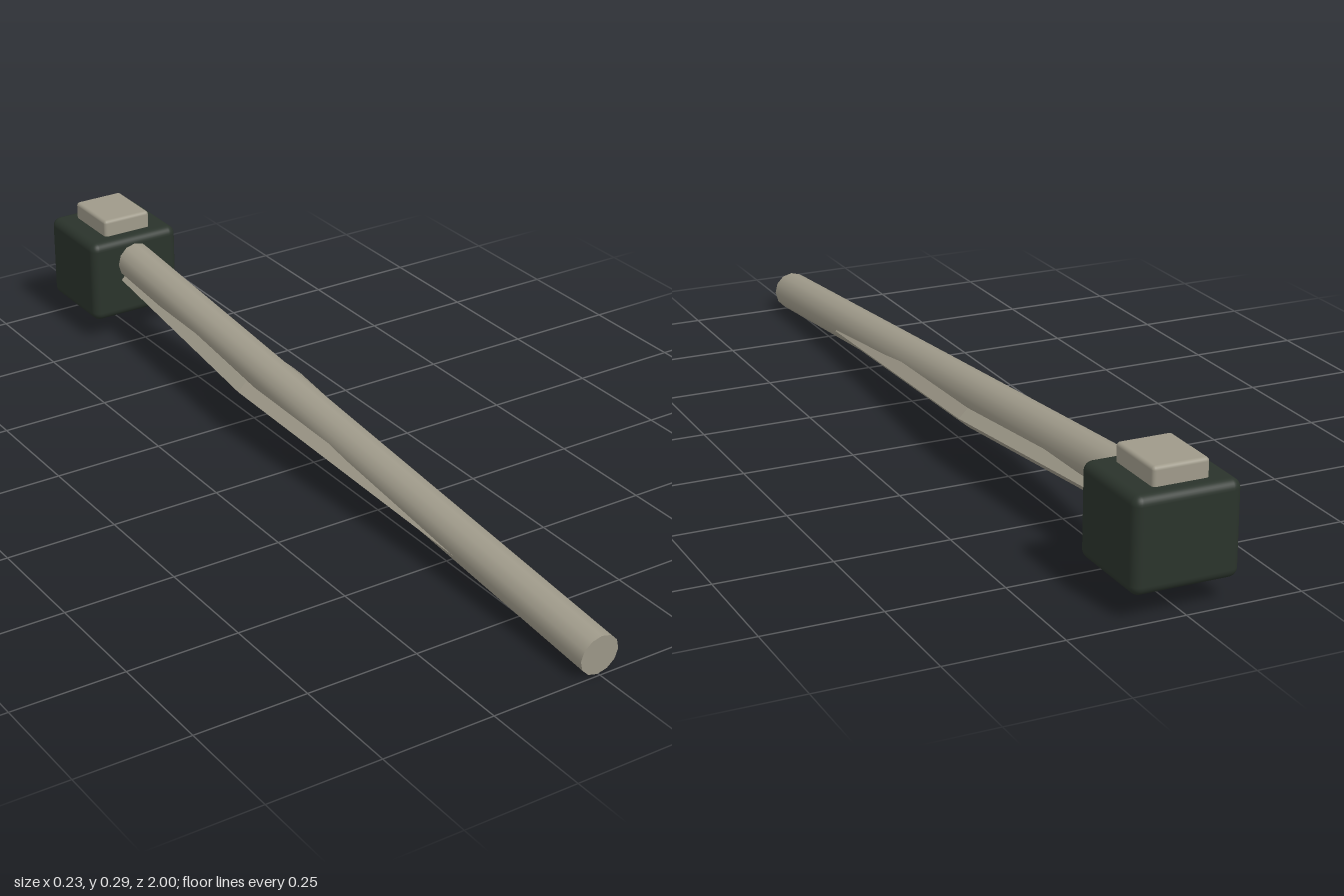
import * as THREE from 'three';
import { RoundedBoxGeometry } from 'three/addons/geometries/RoundedBoxGeometry.js';

// Square bar swept through a few centre points, section turned to a diamond
function diamondBar(points, r) {
  const pos = [];
  const ring = ([x, y, z]) => [[x, y + r, z], [x + r, y, z], [x, y - r, z], [x - r, y, z]];
  const quad = (a, b, c, d) => pos.push(...a, ...b, ...c, ...a, ...c, ...d);
  const rings = points.map(ring);
  for (let i = 0; i < rings.length - 1; i++) {
    for (let k = 0; k < 4; k++) {
      const n = (k + 1) % 4;
      quad(rings[i][k], rings[i][n], rings[i + 1][n], rings[i + 1][k]);
    }
  }
  const last = rings[rings.length - 1];
  quad(rings[0][3], rings[0][2], rings[0][1], rings[0][0]);
  quad(last[0], last[1], last[2], last[3]);
  const geo = new THREE.BufferGeometry();
  geo.setAttribute('position', new THREE.Float32BufferAttribute(pos, 3));
  geo.computeVertexNormals();
  return geo;
}

export function createModel() {
  const group = new THREE.Group();
  const metal = new THREE.MeshStandardMaterial({ color: 0x9f9a8a });
  metal.name = 'warm grey metal';
  const dark = new THREE.MeshStandardMaterial({ color: 0x2a332b });
  dark.name = 'dark green block';

  const add = (name, geo, mat) => {
    const mesh = new THREE.Mesh(geo, mat);
    mesh.name = name;
    group.add(mesh);
    return mesh;
  };

  // Long sloping rod, running into the block
  const front = new THREE.Vector3(-0.002, 0.046, 0.998);
  const back = new THREE.Vector3(-0.002, 0.197, -0.86);
  const dir = back.clone().sub(front);
  const rod = add('rod', new THREE.CylinderGeometry(0.045, 0.045, dir.length(), 12), metal);
  rod.position.copy(front).add(back).multiplyScalar(0.5);
  rod.quaternion.setFromUnitVectors(new THREE.Vector3(0, 1, 0), dir.normalize());

  // Bent braces that bow out below the rod on both sides
  for (const s of [1, -1]) {
    // Points run from back to front so the faces point outwards
    const path = [[s * 0.015, 0.153, -0.85], [s * 0.062, 0.12, -0.18], [s * 0.022, 0.067, 0.6]];
    add(s > 0 ? 'leftBrace' : 'rightBrace', diamondBar(path.reverse(), 0.021), metal);
  }

  // Rounded end block and the small cap on top of it
  const block = add('endBlock', new RoundedBoxGeometry(0.228, 0.199, 0.216, 4, 0.02), dark);
  block.position.set(0, 0.154, -0.892);
  const cap = add('topCap', new RoundedBoxGeometry(0.12, 0.06, 0.146, 3, 0.008), metal);
  cap.position.set(-0.001, 0.263, -0.892);

  return group;
}
